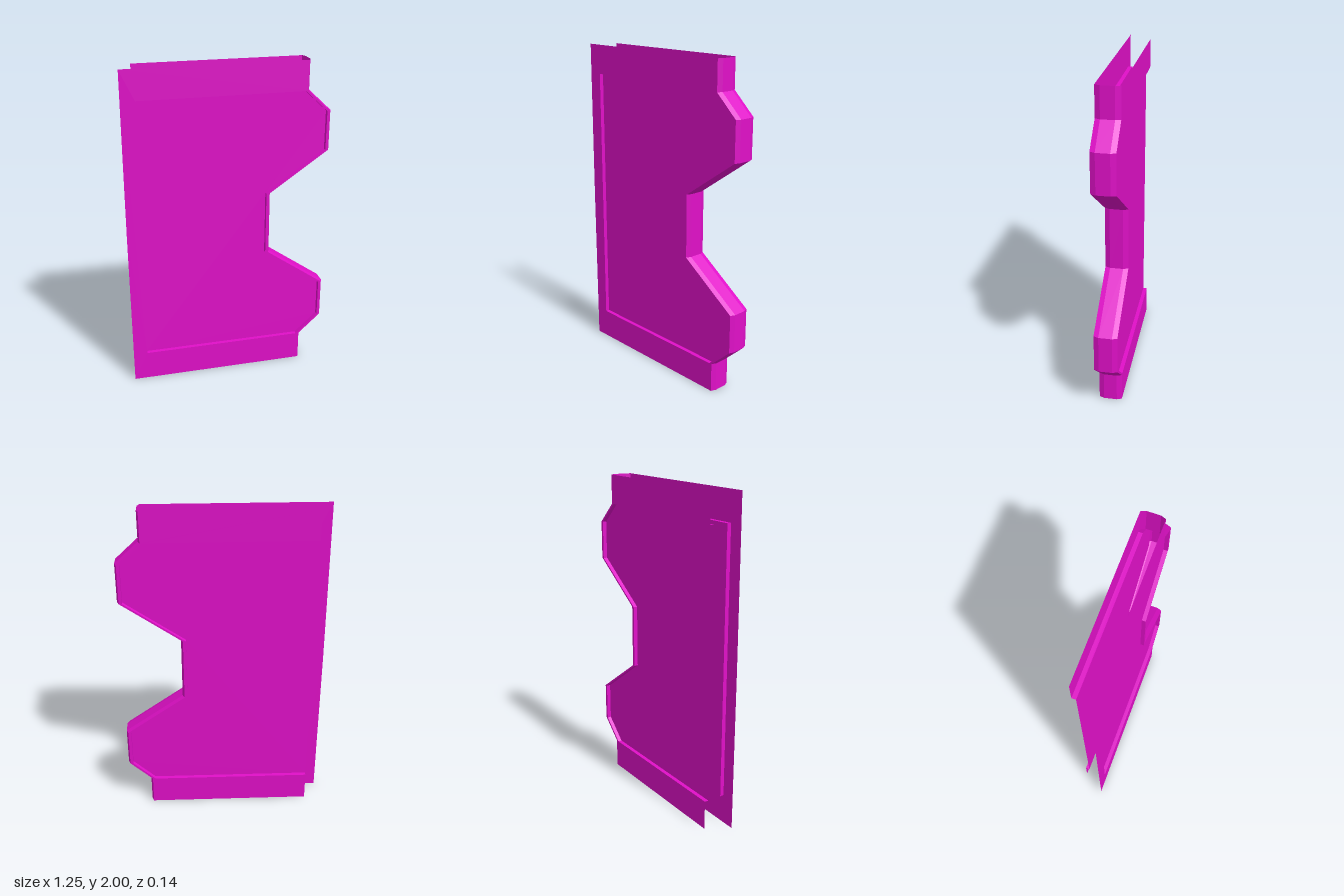
import * as THREE from 'three';

// Right-hand contour from bottom to top: [x, y]
const CONTOUR = [
  [0.485, 0], [0.485, 0.183], [0.625, 0.312], [0.625, 0.552], [0.26, 0.807],
  [0.26, 1.2], [0.625, 1.452], [0.625, 1.69], [0.485, 1.82], [0.485, 2],
];
const FACE_Z = 0.07, FLOOR_Z = 0.045, EDGE_Z = 0.04;
const CHAMFER = 0.012, RIM = 0.03, PANEL_X = -0.54;

const inset = (points, d) => points.map(([x, y]) => [x - d, y]);
const toVectors = (points) => points.map(([x, y]) => new THREE.Vector2(x, y));

export function createModel() {
  const model = new THREE.Group();
  const material = new THREE.MeshStandardMaterial({ color: 0xe010c8, side: THREE.DoubleSide });

  function add(name, geometry, parent) {
    const mesh = new THREE.Mesh(geometry, material);
    mesh.name = name;
    parent.add(mesh);
  }

  // Flat sheet facing +z (side 1) or -z (side -1)
  function sheet(points, z, side, hole) {
    const shape = new THREE.Shape(toVectors(points));
    if (hole) shape.holes.push(new THREE.Path(toVectors(hole)));
    const geometry = new THREE.ShapeGeometry(shape);
    geometry.translate(0, 0, z * side);
    if (side < 0) {
      geometry.index.array.reverse();
      geometry.attributes.normal.array.fill(-1).forEach((_, i, a) => { if (i % 3 < 2) a[i] = 0; });
    }
    return geometry;
  }

  // Flat-shaded strip joining path a at depth za to path b at depth zb
  function strip(a, za, b, zb) {
    const p = [];
    for (let i = 0; i < a.length - 1; i++) {
      const a0 = [...a[i], za], a1 = [...a[i + 1], za];
      const b0 = [...b[i], zb], b1 = [...b[i + 1], zb];
      p.push(...a0, ...b0, ...b1, ...a0, ...b1, ...a1);
    }
    const geometry = new THREE.BufferGeometry();
    geometry.setAttribute('position', new THREE.Float32BufferAttribute(p, 3));
    geometry.computeVertexNormals();
    return geometry;
  }

  const faceEdge = inset(CONTOUR, CHAMFER);
  const panelEdge = inset(CONTOUR.slice(1, -1), RIM);
  const panel = [[PANEL_X, 0.183], ...panelEdge, [PANEL_X, 1.82]];

  // Front side: full frame around a recessed panel
  const front = new THREE.Group();
  front.name = 'frontSide';
  add('frontFrame', sheet([[-0.625, 0], ...faceEdge, [-0.625, 2], [-0.628, 1]], FACE_Z, 1, panel), front);
  add('frontPanel', sheet(panel, FLOOR_Z, 1), front);
  const frontLoop = [...panel, panel[0]];
  add('frontPanelWall', strip(frontLoop, FLOOR_Z, frontLoop, FACE_Z), front);

  // Back side: shorter, with the panel running out to the open edge
  const back = new THREE.Group();
  back.name = 'backSide';
  const backFrame = [[PANEL_X, 0], ...faceEdge, [PANEL_X, 2], ...[...panel].reverse()];
  add('backFrame', sheet(backFrame, FACE_Z, -1), back);
  add('backPanel', sheet(panel, FLOOR_Z, -1), back);
  add('backPanelWall', strip(panel, -FACE_Z, panel, -FLOOR_Z).scale(1, 1, 1), back);

  // Notched spine joining both sides, chamfered front and back
  const spine = new THREE.Group();
  spine.name = 'spine';
  add('frontChamfer', strip(faceEdge, FACE_Z, CONTOUR, EDGE_Z), spine);
  add('spineEdge', strip(CONTOUR, EDGE_Z, CONTOUR, -EDGE_Z), spine);
  add('backChamfer', strip(CONTOUR, -EDGE_Z, faceEdge, -FACE_Z), spine);

  model.add(front, back, spine);
  return model;
}
